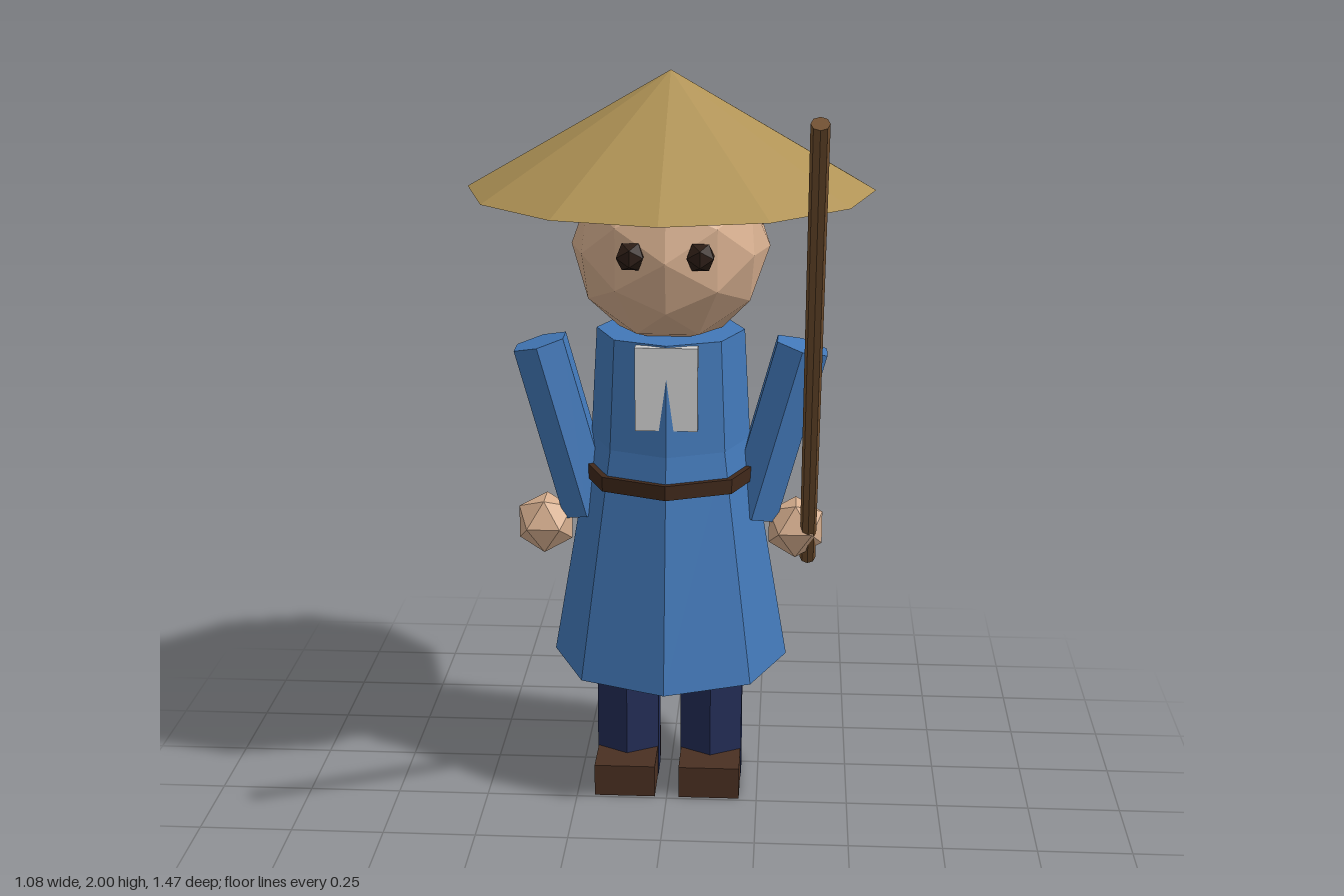
import * as THREE from 'three';

const Z = -0.195; // body axis

function material(name, color) {
  const m = new THREE.MeshStandardMaterial({ color, flatShading: true });
  m.name = name;
  return m;
}

export function createModel() {
  const group = new THREE.Group();
  const straw = material('straw', 0xb09356);
  const cloth = material('blue cloth', 0x4278b8);
  const trouser = material('navy cloth', 0x232d56);
  const skin = material('skin', 0xd8b090);
  const hairBrown = material('hair brown', 0x633c22);
  const leather = material('leather', 0x4a3022);
  const beltBrown = material('belt brown', 0x3f281a);
  const wood = material('wood', 0x72502f);
  const linen = material('linen', 0xd0d0d0);
  const dark = material('eye dark', 0x2c1d15);

  function add(name, geometry, mat, x, y, z) {
    const mesh = new THREE.Mesh(geometry, mat);
    mesh.name = name;
    mesh.position.set(x, y, z);
    group.add(mesh);
    return mesh;
  }
  // Upright tapered prism between two heights
  function column(name, mat, rTop, rBottom, y0, y1, sides, x = 0) {
    return add(name, new THREE.CylinderGeometry(rTop, rBottom, y1 - y0, sides), mat, x, (y0 + y1) / 2, Z);
  }

  // Robe, belt and collar
  column('robeSkirt', cloth, 0.216, 0.325, 0.365, 1.0, 8);
  column('robeTorso', cloth, 0.2, 0.217, 1.0, 1.3, 8);
  column('belt', beltBrown, 0.245, 0.245, 0.89, 0.93, 8);
  add('collar', new THREE.BoxGeometry(0.165, 0.225, 0.03), linen, 0, 1.183, -0.005);

  // Head and hair
  add('head', new THREE.IcosahedronGeometry(0.265, 1), skin, 0, 1.53, Z);
  const hair = add('hair', new THREE.IcosahedronGeometry(0.278, 1), hairBrown, 0, 1.66, -0.25);
  hair.scale.y = 0.85;

  // Conical hat
  add('hat', new THREE.ConeGeometry(0.54, 0.31, 12), straw, 0, 1.835, Z);

  // Mirrored parts
  for (const [side, s] of [['left', 1], ['right', -1]]) {
    add(side + 'Eye', new THREE.IcosahedronGeometry(0.041, 0), dark, s * 0.09, 1.545, 0.047);

    const arm = add(side + 'Sleeve', new THREE.CylinderGeometry(0.08, 0.08, 0.49, 6), cloth, s * 0.29, 1.021, Z);
    arm.rotation.z = -s * 0.269;

    const hand = add(side + 'Hand', new THREE.IcosahedronGeometry(0.086, 0), skin, s * 0.345, 0.747, -0.178);
    hand.rotation.x = Math.PI / 2;

    column(side + 'Leg', trouser, 0.099, 0.099, 0.002, 0.45, 6, s * 0.117);
    add(side + 'Shoe', new THREE.BoxGeometry(0.168, 0.09, 0.28), leather, s * 0.117, 0.045, -0.15);
  }

  // Staff leaning forward from the left hand
  const low = new THREE.Vector3(0.38, 0.653, -0.197);
  const high = new THREE.Vector3(0.38, 1.987, 0.715);
  const dir = high.clone().sub(low);
  const mid = low.clone().add(high).multiplyScalar(0.5);
  const staff = add('staff', new THREE.CylinderGeometry(0.022, 0.022, dir.length(), 8), wood, mid.x, mid.y, mid.z);
  staff.rotation.x = Math.atan2(dir.z, dir.y);

  return group;
}
